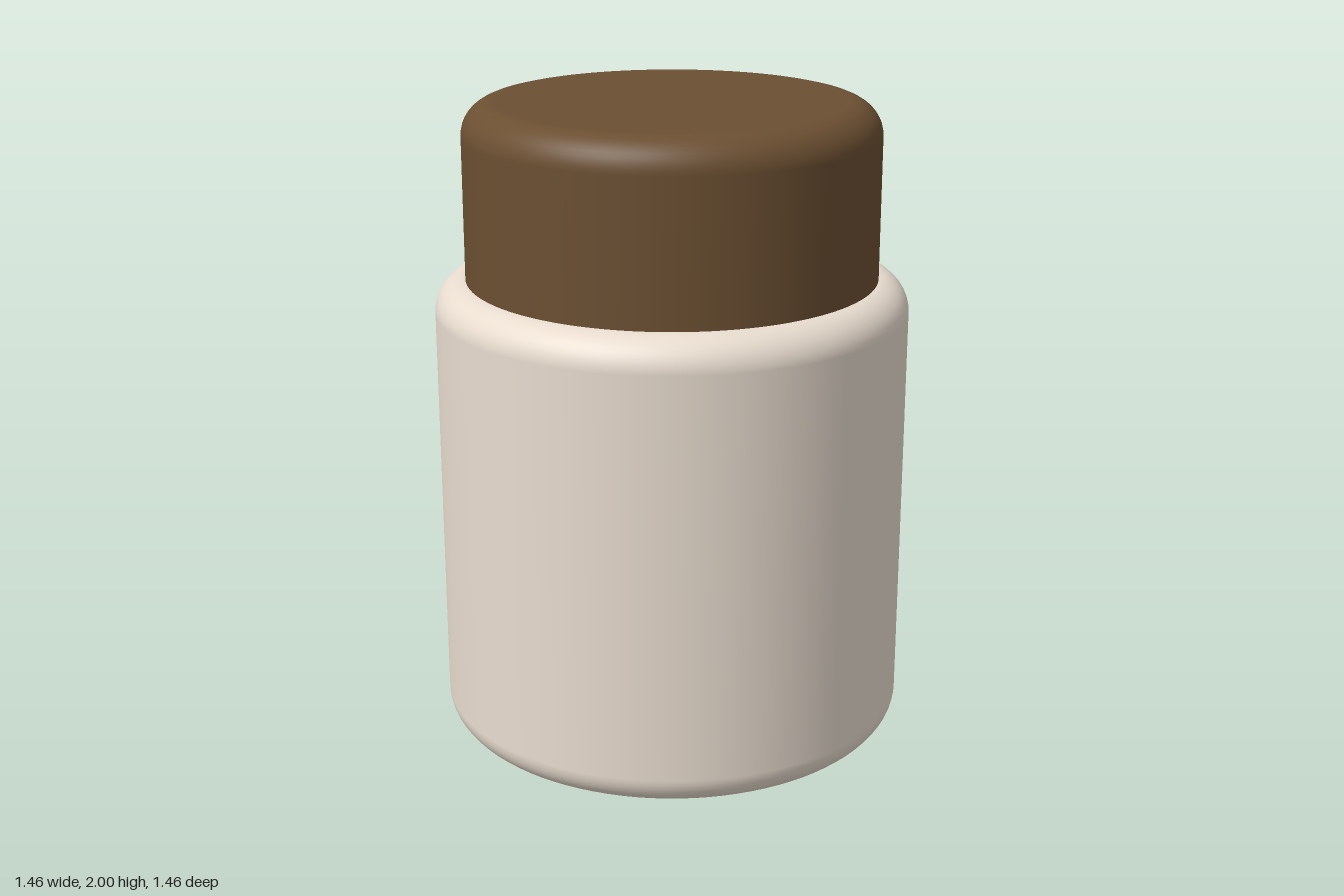
import * as THREE from 'three';

// Solid round part with filleted edges, turned about the y axis
function turned(name, radius, y0, y1, bottomFillet, topFillet, color) {
  const points = [new THREE.Vector2(0, y0)];
  const fillet = (f, cy, start) => {
    const steps = 10;
    for (let i = 0; i <= steps; i++) {
      const a = start + (i / steps) * Math.PI / 2;
      points.push(new THREE.Vector2(radius - f + f * Math.cos(a), cy + f * Math.sin(a)));
    }
  };
  if (bottomFillet > 0) fillet(bottomFillet, y0 + bottomFillet, -Math.PI / 2);
  else points.push(new THREE.Vector2(radius, y0), new THREE.Vector2(radius, y0 + 0.002));
  fillet(topFillet, y1 - topFillet, 0);
  points.push(new THREE.Vector2(0, y1));
  const mesh = new THREE.Mesh(
    new THREE.LatheGeometry(points, 96),
    new THREE.MeshStandardMaterial({ color })
  );
  mesh.name = name;
  return mesh;
}

export function createModel() {
  const model = new THREE.Group();
  model.name = 'jar';
  // Pale body, rounded at the base and shoulder
  model.add(turned('body', 0.73, 0, 1.46, 0.1, 0.1, 0xe8dccf));
  // Brown lid seated on the shoulder, rounded at the top only
  model.add(turned('lid', 0.635, 1.45, 2, 0, 0.1, 0x6b4f32));
  return model;
}
